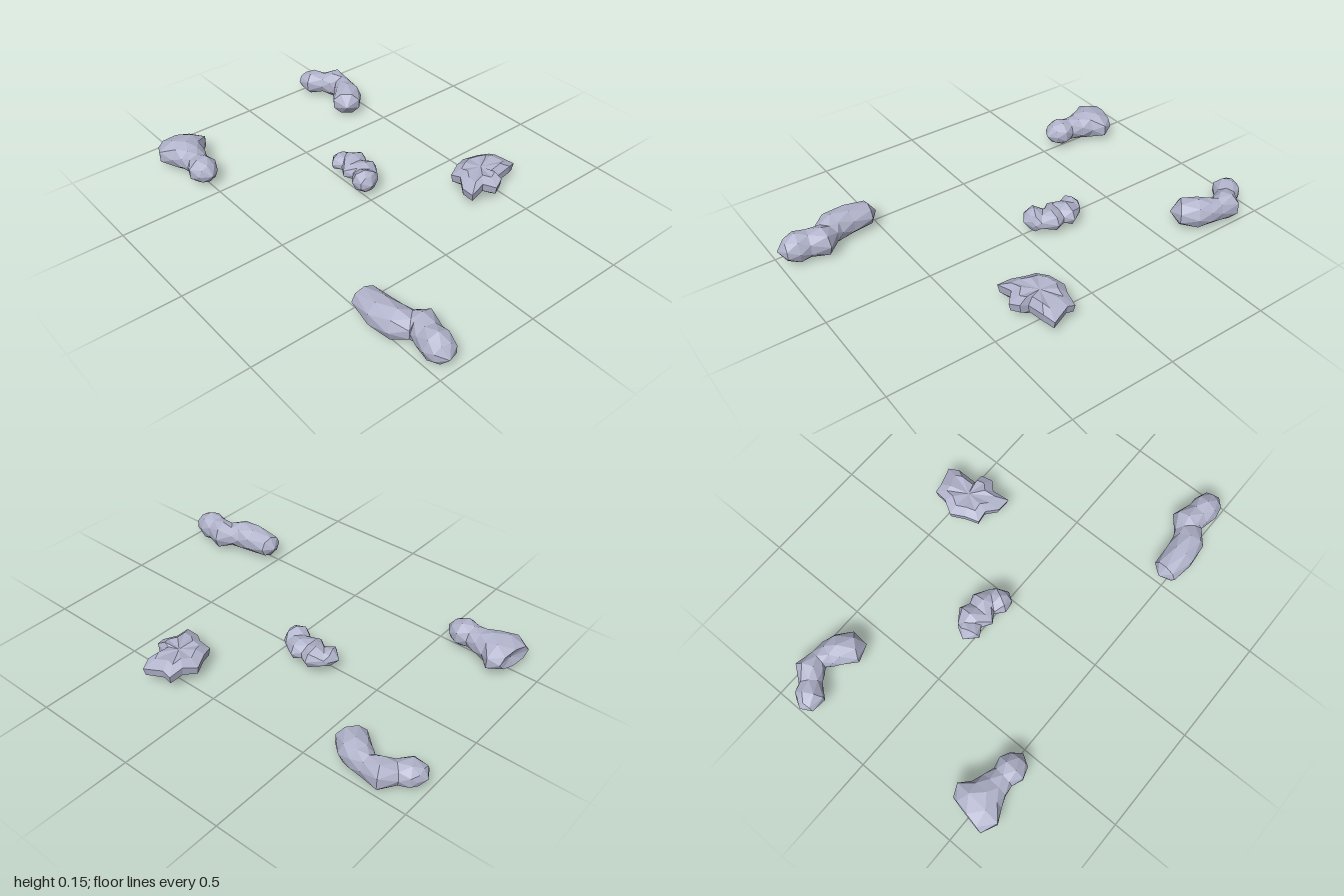
import * as THREE from 'three';

const SIDES = 8;
const MID = 0.075; // shared mid-height of the rocks

// Skin closed rings of points, closed by a pole at each end, as flat facets
function skin(rings, startPole, endPole, staggered) {
  const pos = [];
  const tri = (...pts) => pts.forEach((p) => pos.push(p.x, p.y, p.z));
  const n = rings[0].length;
  const last = rings[rings.length - 1];
  for (let k = 0; k < n; k++) {
    const m = (k + 1) % n;
    tri(startPole, rings[0][m], rings[0][k]);
    tri(endPole, last[k], last[m]);
    for (let i = 0; i + 1 < rings.length; i++) {
      const a = rings[i][k], b = rings[i][m], c = rings[i + 1][m], d = rings[i + 1][k];
      // use the shorter diagonal of each facet
      if (staggered && i % 2 === 0) { tri(a, b, d); tri(b, c, d); }
      else { tri(a, b, c); tri(a, c, d); }
    }
  }
  const g = new THREE.BufferGeometry();
  g.setAttribute('position', new THREE.Float32BufferAttribute(pos, 3));
  g.computeVertexNormals();
  return g;
}

// Lying rock: stations of [x, z, halfWidth, halfHeight]; the first and last are poles [x, z]
function lyingRock(stations) {
  const at = stations.map(([x, z]) => new THREE.Vector3(x, MID, z));
  const rings = [];
  for (let i = 1; i < stations.length - 1; i++) {
    const [, , w, h] = stations[i];
    const t = at[i + 1].clone().sub(at[i - 1]).normalize();
    const odd = (i - 1) % 2;
    const grow = odd ? 1.04 : 1;
    rings.push(Array.from({ length: SIDES }, (_, k) => {
      const a = ((k + odd * 0.5) / SIDES) * Math.PI * 2;
      const s = Math.cos(a) * w * grow;
      return new THREE.Vector3(at[i].x + t.z * s, MID + Math.sin(a) * h, at[i].z - t.x * s);
    }));
  }
  return skin(rings, at[0], at[at.length - 1], true);
}

// Jagged rock: star-shaped outline [x, z], drawn in above and below its middle
function jaggedRock(outline, cx, cz, h) {
  const layer = (scale, y, wave) => outline.map(([x, z], k) => new THREE.Vector3(
    cx + (x - cx) * scale, MID + y + (k % 2 ? wave : -wave), cz + (z - cz) * scale));
  const rings = [layer(0.66, -h * 0.85, 0.005), layer(0.95, -h * 0.4, 0.006),
    layer(1, h * 0.35, 0.008), layer(0.66, h * 0.85, 0.005)];
  return skin(rings, new THREE.Vector3(cx, MID - h * 0.8, cz),
    new THREE.Vector3(cx, MID + h * 0.8, cz), false);
}

export function createModel() {
  const model = new THREE.Group();
  model.name = 'rockCluster';
  const stone = new THREE.MeshStandardMaterial({ color: 0xb2b4cc, flatShading: true });
  stone.name = 'paleLavenderStone';
  const add = (name, geometry) => {
    const mesh = new THREE.Mesh(geometry, stone);
    mesh.name = name;
    model.add(mesh);
  };

  // Long rock with a waist, front right
  add('longRock', lyingRock([
    [-0.47, 0.5], [-0.48, 0.535, 0.06, 0.052], [-0.485, 0.64, 0.07, 0.07],
    [-0.475, 0.725, 0.072, 0.072], [-0.44, 0.77, 0.062, 0.056], [-0.41, 0.8, 0.072, 0.072],
    [-0.43, 0.86, 0.06, 0.066], [-0.437, 0.915, 0.068, 0.075], [-0.445, 0.965, 0.052, 0.05],
    [-0.455, 1.0],
  ]));

  // Rock with a wide double-lobed head and a narrow foot, back right
  add('forkedRock', lyingRock([
    [-0.513, -0.527], [-0.515, -0.56, 0.05, 0.045], [-0.515, -0.61, 0.07, 0.066],
    [-0.51, -0.66, 0.054, 0.055], [-0.505, -0.71, 0.066, 0.06], [-0.505, -0.76, 0.085, 0.072],
    [-0.5, -0.815, 0.125, 0.07], [-0.495, -0.88, 0.094, 0.045], [-0.49, -0.862],
  ]));

  // Bent rock with an elbow, back left
  add('bentRock', lyingRock([
    [0.36, -1.0], [0.355, -0.975, 0.046, 0.04], [0.365, -0.93, 0.066, 0.06],
    [0.405, -0.885, 0.052, 0.05], [0.45, -0.84, 0.066, 0.072], [0.45, -0.785, 0.046, 0.06],
    [0.435, -0.74, 0.058, 0.064], [0.415, -0.695, 0.072, 0.072], [0.362, -0.635, 0.068, 0.06],
    [0.335, -0.597],
  ]));

  // Small lumpy rock in the middle
  add('smallRock', lyingRock([
    [0.02, -0.305], [0.018, -0.265, 0.052, 0.04], [0.04, -0.235, 0.055, 0.036],
    [0.062, -0.205, 0.068, 0.052], [0.035, -0.16, 0.07, 0.038], [0.06, -0.115, 0.064, 0.05],
    [0.035, -0.085, 0.058, 0.04], [0.01, -0.055, 0.062, 0.06], [0.005, -0.025, 0.042, 0.042],
    [0.005, 0.0],
  ]));

  // Spiky rock, front left
  add('jaggedRock', jaggedRock([
    [0.3, 0.35], [0.38, 0.335], [0.425, 0.38], [0.475, 0.36], [0.48, 0.32], [0.575, 0.315],
    [0.625, 0.295], [0.592, 0.205], [0.592, 0.165], [0.525, 0.155], [0.465, 0.12],
    [0.395, 0.15], [0.335, 0.175], [0.34, 0.23], [0.302, 0.285],
  ], 0.455, 0.245, 0.052));

  return model;
}
